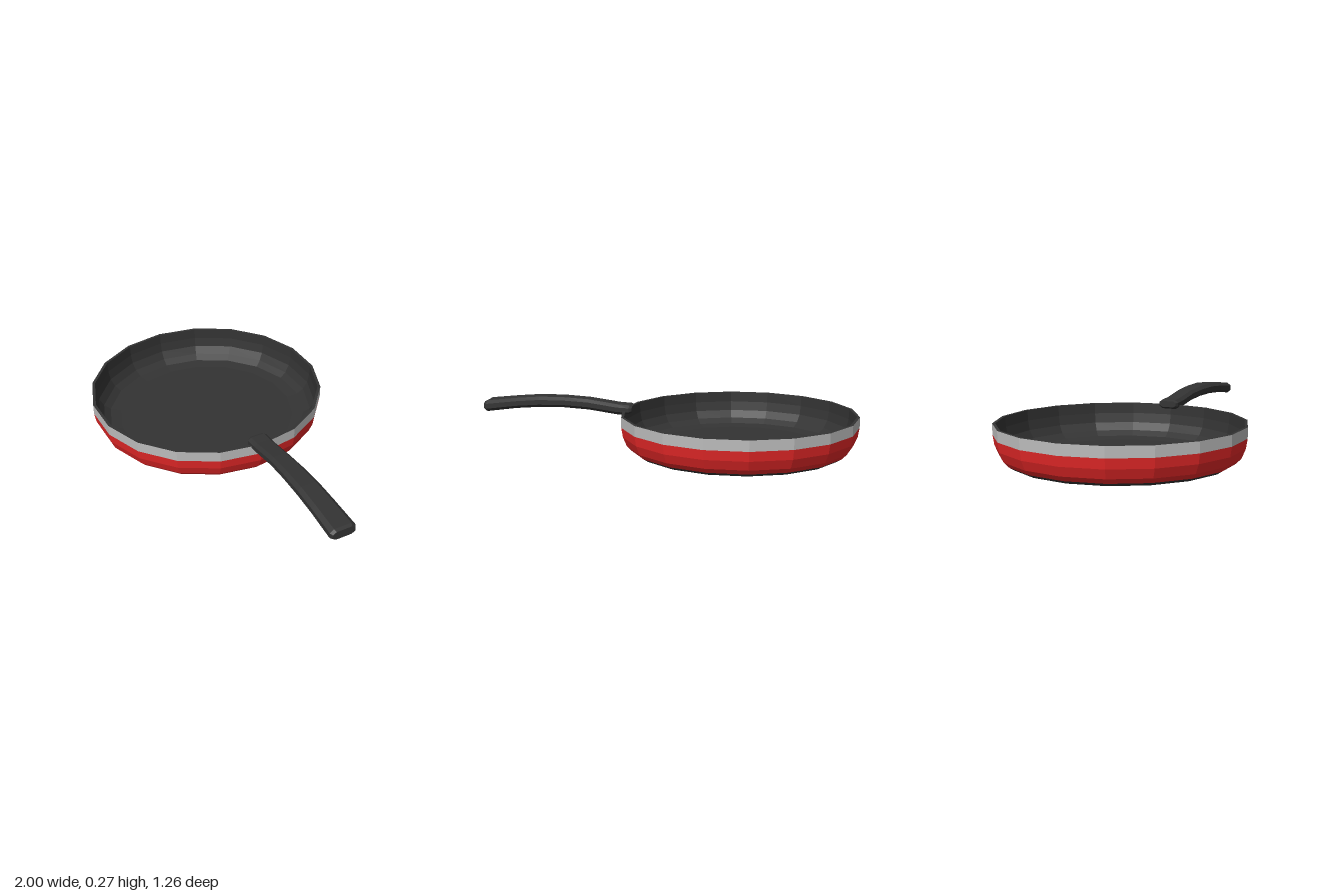
import * as THREE from 'three';

const SIDES = 18;
const mat = (color) => new THREE.MeshStandardMaterial({ color, flatShading: true });
const dark = mat(0x333333);
const red = mat(0xe62828);
const steel = mat(0xbbbbbb);

// Faceted ring or dish turned from [radius, height] pairs
function turned(name, profile, material) {
  const points = profile.map(([r, y]) => new THREE.Vector2(r, y));
  const mesh = new THREE.Mesh(new THREE.LatheGeometry(points, SIDES), material);
  mesh.name = name;
  return mesh;
}

// Bar along +x through chamfered sections: [x, bottom, top, half width]
function loft(sections) {
  const pos = [], index = [], n = 8;
  for (const [x, y0, y1, w] of sections) {
    const h = (y1 - y0) / 2, cy = (y0 + y1) / 2;
    const a = w * 0.68, b = h * 0.45;
    const ring = [[w, -b], [w, b], [a, h], [-a, h], [-w, b], [-w, -b], [-a, -h], [a, -h]];
    for (const [z, y] of ring) pos.push(x, cy + y, z);
  }
  const last = (sections.length - 1) * n;
  for (let s = 0; s < last; s += n) {
    for (let i = 0; i < n; i++) {
      const j = (i + 1) % n;
      index.push(s + i, s + n + i, s + j, s + j, s + n + i, s + n + j);
    }
  }
  for (let i = 1; i < n - 1; i++) {
    index.push(0, i, i + 1, last, last + i + 1, last + i);
  }
  const geo = new THREE.BufferGeometry();
  geo.setAttribute('position', new THREE.Float32BufferAttribute(pos, 3));
  geo.setIndex(index);
  geo.computeVertexNormals();
  return geo;
}

export function createModel() {
  const pan = new THREE.Group();
  pan.name = 'fryingPan';
  pan.position.x = -0.382;

  // Outer shell, bottom to top
  pan.add(turned('base', [[0, 0], [0.48, 0], [0.55, 0.01], [0.575, 0.026]], dark));
  pan.add(turned('redWall', [[0.575, 0.026], [0.6, 0.052], [0.62, 0.1], [0.628, 0.15]], red));
  pan.add(turned('steelBand', [[0.628, 0.15], [0.628, 0.205]], steel));

  // Rim and cooking surface
  pan.add(turned('interior', [
    [0.628, 0.205], [0.613, 0.205], [0.61, 0.15], [0.6, 0.1],
    [0.575, 0.06], [0.54, 0.035], [0.48, 0.025], [0, 0.025],
  ], dark));

  // Handle, arched and widening, over one corner of the rim
  const handle = new THREE.Mesh(loft([
    [0.57, 0.196, 0.228, 0.047],
    [0.585, 0.186, 0.234, 0.055],
    [0.65, 0.183, 0.238, 0.053],
    [0.81, 0.204, 0.26, 0.052],
    [0.94, 0.212, 0.267, 0.056],
    [1.08, 0.21, 0.267, 0.06],
    [1.21, 0.2, 0.256, 0.063],
    [1.375, 0.178, 0.238, 0.068],
    [1.39, 0.186, 0.23, 0.06],
  ]), dark);
  handle.name = 'handle';
  handle.rotation.y = -Math.PI / SIDES;
  pan.add(handle);

  const model = new THREE.Group();
  model.add(pan);
  return model;
}
